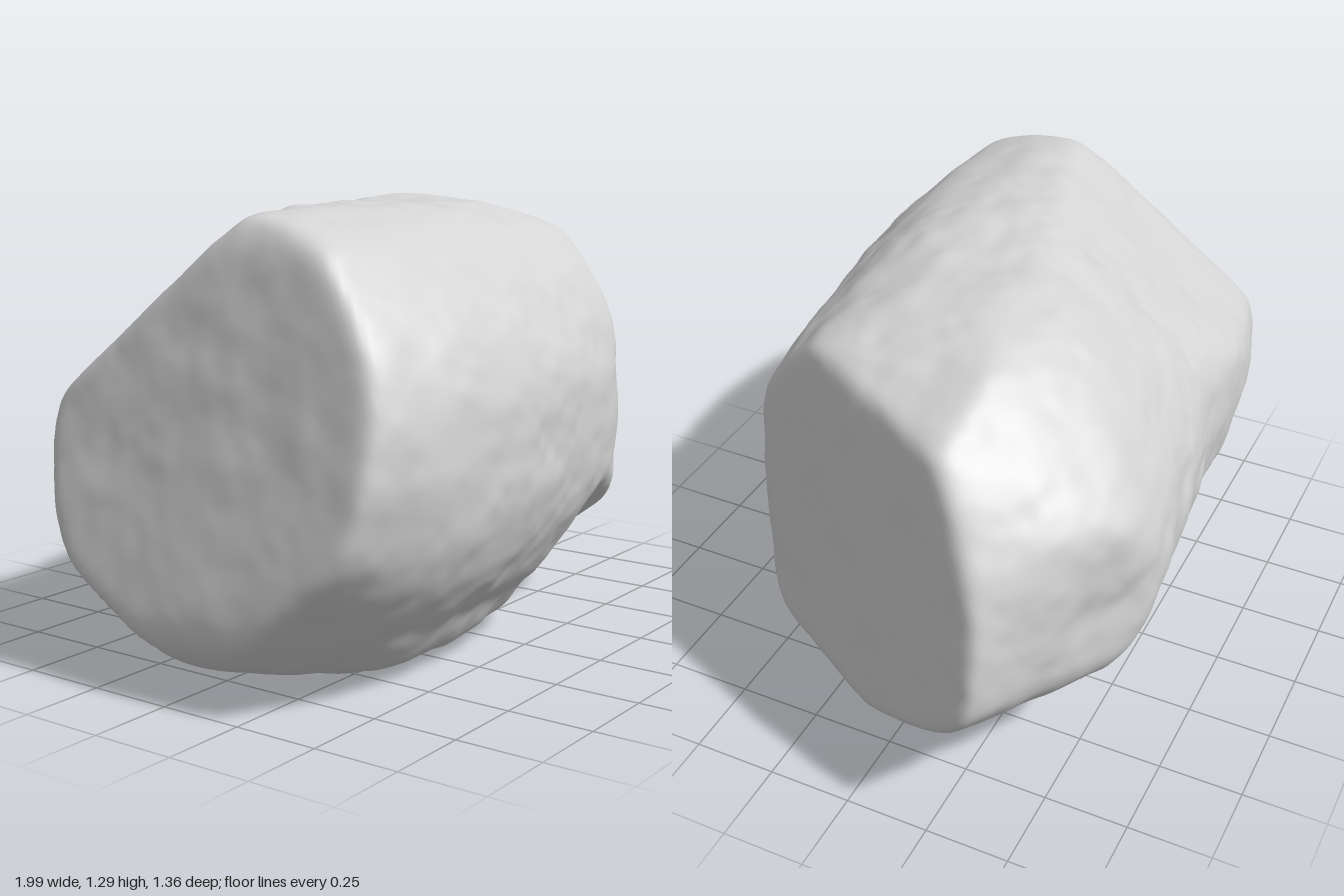
import * as THREE from 'three';
import { mergeVertices } from 'three/addons/utils/BufferGeometryUtils.js';

const SHARP = 46; // higher values give crisper edges

// Radius of the rounded body around its long axis, every 15 degrees from +z towards +y
const RADII = [
  0.64, 0.645, 0.645, 0.645, 0.66, 0.655, 0.65, 0.66, 0.665, 0.65, 0.635, 0.64,
  0.64, 0.63, 0.615, 0.58, 0.54, 0.54, 0.58, 0.655, 0.69, 0.645, 0.64, 0.64,
];

// Broken faces: normal and distance of each cutting plane from the stone's core
const FACETS = [
  { n: [0.87, 0.15, 0.44], d: 0.683 },     // slanted end
  { n: [-0.977, 0.214, 0], d: 0.887 },     // leaning flat end
  { n: [0.48, 0, -0.88], d: 0.85 },        // back taper
  { n: [0.55, 0.6, -0.55], d: 0.88 },      // upper back taper
  { n: [0.7, 0.3, -0.65], d: 0.98 },       // softening between the two tapers
  { n: [0.35, 0.94, 0.1], d: 0.742 },      // top slope towards the slanted end
  { n: [0.216, 0.75, -0.625], d: 0.745 },  // top back shoulder
  { n: [-0.217, 0.75, -0.625], d: 0.615 }, // top back shoulder by the flat end
  { n: [-0.78, 0.606, 0.047], d: 0.972 },  // worn top edge of the flat end
  { n: [0.5, 0, 0.87], d: 0.68 },          // worn front edge of the slanted end
  { n: [0.3, -0.9, -0.3], d: 0.635 },      // lower back taper
  { n: [0.431, -0.606, -0.653], d: 0.8 },  // lower back corner
  { n: [0.35, -0.85, 0.3], d: 0.645 },     // slope under the slanted end
  { n: [-0.07, -0.85, -0.52], d: 0.55 },   // back underside
  { n: [-0.22, -0.97, 0.1], d: 0.74 },     // underside by the flat end
  { n: [0.1, -0.99, 0.1], d: 0.643 },      // underside by the slanted end
  { n: [-0.78, -0.606, 0.047], d: 1.055 }, // worn bottom edge of the flat end
  { n: [-0.385, -0.65, 0.655], d: 0.832 }, // lower front corner of the flat end
].map(({ n, d }) => ({ n: new THREE.Vector3(...n), d }));
const SCOOP = new THREE.Vector3(0, -0.75, 0.6); // hollow low on the front, one half only

function bodyRadius(angle) {
  const t = ((angle / (Math.PI * 2)) * 24 + 24) % 24;
  const i = Math.floor(t), f = t - i;
  const s = f * f * (3 - 2 * f);
  return RADII[i % 24] * (1 - s) + RADII[(i + 1) % 24] * s;
}

// Below 1 inside the stone, above 1 outside
function gauge(p) {
  const narrowing = 1 - 0.6 * Math.max(0, -p.x - 0.4) ** 2;
  const z = (p.z + 0.015 + 0.13 * Math.max(p.x, -0.25)) / narrowing;
  let sum = (Math.hypot(z, p.y) / bodyRadius(Math.atan2(p.y, z))) ** SHARP;
  for (const { n, d } of FACETS) sum += Math.max(0, n.dot(p) / d) ** SHARP;
  const depth = 0.7 - 0.22 * THREE.MathUtils.smoothstep(p.x, -0.05, 0.35);
  sum += Math.max(0, SCOOP.dot(p) / depth) ** SHARP;
  return sum ** (1 / SHARP);
}

// Smooth seeded 3D noise in -1..1
function hash(x, y, z) {
  let h = Math.imul(x, 374761393) ^ Math.imul(y, 668265263) ^ Math.imul(z, 1274126177);
  h = Math.imul(h ^ (h >>> 13), 1103515245);
  return ((h ^ (h >>> 16)) >>> 0) / 2147483648 - 1;
}
function noise(x, y, z) {
  const c = [x, y, z].map(Math.floor);
  const [u, v, w] = [x - c[0], y - c[1], z - c[2]].map((f) => f * f * (3 - 2 * f));
  let total = 0;
  for (let k = 0; k < 8; k++) {
    const a = k & 1, b = (k >> 1) & 1, e = k >> 2;
    total += hash(c[0] + a, c[1] + b, c[2] + e) * (a ? u : 1 - u) * (b ? v : 1 - v) * (e ? w : 1 - w);
  }
  return total;
}

function stoneGeometry() {
  let geo = new THREE.IcosahedronGeometry(1, 56);
  geo.deleteAttribute('uv');
  geo.deleteAttribute('normal');
  geo = mergeVertices(geo, 1e-5);
  const pos = geo.attributes.position;
  const u = new THREE.Vector3(), p = new THREE.Vector3();
  const pit = new THREE.Vector3(0.66, 0, -0.59);

  for (let i = 0; i < pos.count; i++) {
    u.fromBufferAttribute(pos, i);
    u.x *= 1.2;
    u.normalize();
    // Find the surface along this direction
    let lo = 0.1, hi = 1.6;
    for (let k = 0; k < 22; k++) {
      const mid = (lo + hi) / 2;
      if (gauge(p.copy(u).multiplyScalar(mid)) < 1) lo = mid;
      else hi = mid;
    }
    p.copy(u).multiplyScalar(lo);
    // Weathered bumps, calmer on the two broken ends, and one shallow pit
    const end = Math.max(FACETS[0].n.dot(p) / FACETS[0].d, FACETS[1].n.dot(p) / FACETS[1].d);
    const calm = 1 - 0.5 * THREE.MathUtils.smoothstep(end, 0.9, 0.98);
    const bumps = 0.008 * noise(p.x * 4, p.y * 5, p.z * 5)
      + 0.008 * noise(p.x * 9 + 7, p.y * 9, p.z * 9)
      + 0.003 * noise(p.x * 20, p.y * 20 + 3, p.z * 20);
    const dent = 0.02 * Math.exp(-((p.distanceTo(pit) / 0.07) ** 2));
    p.addScaledVector(u, bumps * calm - dent);
    pos.setXYZ(i, p.x, p.y, p.z);
  }

  // Settle on the ground, centred
  geo.computeBoundingBox();
  const mid = geo.boundingBox.getCenter(new THREE.Vector3());
  geo.translate(-mid.x, -geo.boundingBox.min.y, -mid.z);
  geo.computeVertexNormals();
  return geo;
}

export function createModel() {
  const group = new THREE.Group();
  group.name = 'rock';
  const stone = new THREE.MeshStandardMaterial({ color: 0xd4d4d4 });
  stone.name = 'pale grey stone';
  const boulder = new THREE.Mesh(stoneGeometry(), stone);
  boulder.name = 'boulder';
  group.add(boulder);
  return group;
}
